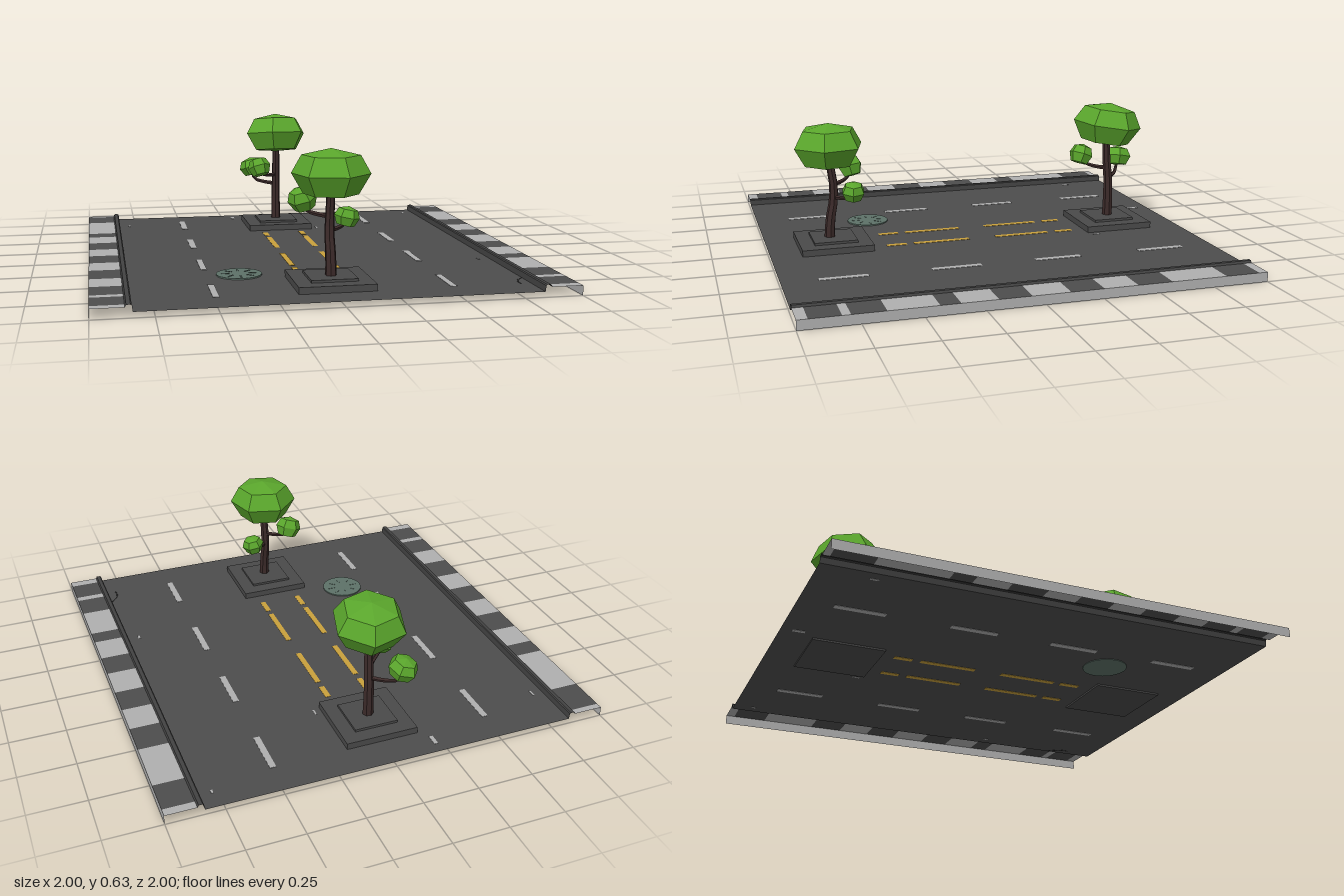
import * as THREE from 'three';

const mat = (name, color, extra = {}) => {
  const m = new THREE.MeshStandardMaterial({ color, ...extra });
  m.name = name;
  return m;
};

export function createModel() {
  const root = new THREE.Group();
  root.name = 'roadSection';
  const two = { side: THREE.DoubleSide };
  const asphalt = mat('asphalt', 0x4d4d4d, two);
  const curbGrey = mat('curbGrey', 0x424242, two);
  const paleGrey = mat('paleGrey', 0xb0b0b0, two);
  const yellow = mat('yellowPaint', 0xc9a03c);
  const iron = mat('manholeGreen', 0x5d7168);
  const crackDark = mat('crackDark', 0x333333);
  const stone = mat('planterGrey', 0x4a4a4a);
  const bark = mat('bark', 0x3b2a29, { flatShading: true });
  const leaf = mat('leaf', 0x5aa62c, { flatShading: true });
  const ROAD = 0.024;

  const add = (parent, name, geo, material, x = 0, y = 0, z = 0) => {
    const m = new THREE.Mesh(geo, material);
    m.name = name;
    m.position.set(x, y, z);
    parent.add(m);
    return m;
  };

  // Open sheet: a list of [x, y] points swept from z0 to z1, flat facets
  const sheet = (pts, z0, z1) => {
    const pos = [];
    for (let i = 0; i + 1 < pts.length; i++) {
      const [a, b] = [pts[i], pts[i + 1]];
      pos.push(...a, z0, ...a, z1, ...b, z1, ...a, z0, ...b, z1, ...b, z0);
    }
    const g = new THREE.BufferGeometry();
    g.setAttribute('position', new THREE.Float32BufferAttribute(pos, 3));
    g.computeVertexNormals();
    return g;
  };

  // Road surface
  add(root, 'roadSurface', sheet([[-0.835, ROAD], [0.835, ROAD]], -1, 1), asphalt);

  // Kerbs, outer walls and pavement tiles; tiles alternate starting pale
  const tileEdges = {
    '-1': [-1, -0.97, -0.8, -0.495, -0.4, -0.25, -0.095, 0.05, 0.2, 0.35, 0.51, 0.65, 0.79, 0.825, 0.955, 1],
    '1': [-1, -0.96, -0.805, -0.555, -0.4, -0.25, -0.105, 0.06, 0.2, 0.355, 0.44, 0.65, 0.79, 0.825, 0.955, 1],
  };
  // merge the two neighbouring pale bands on the left side
  tileEdges['-1'].splice(3, 2, -0.495, -0.4);
  for (const s of [-1, 1]) {
    // mirrored sweeps run the other way so the outer normals face up
    const side = (pts, z0, z1) => {
      const p = pts.map(([x, y]) => [x * s, y]);
      return sheet(s > 0 ? p : p.reverse(), z0, z1);
    };
    const label = s > 0 ? 'left' : 'right';
    const edges = tileEdges[s];
    for (let i = 0; i + 1 < edges.length; i++) {
      add(root, label + 'PavementTile', side([[0.865, 0.043], [1, 0.043]], edges[i], edges[i + 1]),
        i % 2 ? asphalt : paleGrey);
    }
    add(root, label + 'OuterWall', side([[1, 0.043], [1, 0]], -1, 1), paleGrey);
    add(root, label + 'Kerb',
      side([[0.835, ROAD], [0.838, 0.049], [0.843, 0.053], [0.86, 0.053], [0.865, 0.043]], -1, 1), curbGrey);
  }

  // Painted lines, thin enough to show on both faces of the road
  const paint = (name, material, x, z0, z1, w) =>
    add(root, name, new THREE.BoxGeometry(w, 0.003, z1 - z0), material, x, ROAD, (z0 + z1) / 2);
  for (const s of [-1, 1]) {
    for (const [a, b] of [[-0.85, -0.63], [-0.345, -0.13], [0.12, 0.345], [0.625, 0.84]])
      paint('laneDash', paleGrey, s * 0.498, a, b, 0.028);
    for (const [a, b] of [[-0.46, -0.375], [-0.335, -0.07], [0.06, 0.33], [0.365, 0.46]])
      paint('centreDash', yellow, s * 0.095, a, b, 0.026);
  }
  for (const [x, z, w, l] of [[-0.207, -0.922, 0.018, 0.055], [-0.785, -0.77, 0.01, 0.035],
    [0.78, -0.905, 0.01, 0.02], [0.197, -0.55, 0.008, 0.035], [0.78, 0.355, 0.01, 0.025]])
    paint('paintFleck', paleGrey, x, z - l / 2, z + l / 2, w);

  // Crack beside the left kerb
  const crackPath = new THREE.CatmullRomCurve3([[0.832, 0.75], [0.805, 0.78], [0.79, 0.815], [0.793, 0.855]]
    .map(([x, z]) => new THREE.Vector3(x, 0, z)));
  add(root, 'roadCrack', new THREE.TubeGeometry(crackPath, 10, 0.003, 5), crackDark, 0, ROAD, 0).scale.y = 0.6;

  // Manhole cover with low raised ribs
  const manhole = new THREE.Group();
  manhole.name = 'manhole';
  manhole.position.set(-0.356, 0, 0.463);
  root.add(manhole);
  add(manhole, 'manholeCover', new THREE.CylinderGeometry(0.1, 0.1, 0.009, 32), iron, 0, 0.0255, 0);
  for (let i = 0; i < 8; i++) {
    const a = (i * Math.PI) / 4;
    add(manhole, 'manholeRib', new THREE.BoxGeometry(0.035, 0.002, 0.008), iron,
      Math.cos(a) * 0.06, 0.0305, Math.sin(a) * 0.06).rotation.y = -a;
  }

  // Tapered tube through points
  const limb = (pts, r0, r1, sides) => {
    const curve = new THREE.CatmullRomCurve3(pts.map((p) => new THREE.Vector3(...p)));
    const n = 7;
    const g = new THREE.TubeGeometry(curve, n, r0, sides);
    const p = g.attributes.position;
    const v = new THREE.Vector3();
    for (let i = 0; i < p.count; i++) {
      const t = Math.floor(i / (sides + 1)) / n;
      const c = curve.getPointAt(t);
      v.fromBufferAttribute(p, i).sub(c).multiplyScalar(THREE.MathUtils.lerp(1, r1 / r0, t)).add(c);
      p.setXYZ(i, v.x, v.y, v.z);
    }
    return g;
  };

  // Six-sided leaf clump of unit half-width and unit half-height
  const clump = (turn) => new THREE.LatheGeometry(
    [[0, -1], [0.7, -0.92], [1, -0.05], [0.74, 0.72], [0, 1]].map(([x, y]) => new THREE.Vector2(x, y)),
    6, THREE.MathUtils.degToRad(turn));

  const tree = (name, cz, trunk, crown, clumps) => {
    const g = new THREE.Group();
    g.name = name;
    g.position.z = cz;
    root.add(g);
    add(g, 'planterBase', new THREE.BoxGeometry(0.33, 0.037, 0.33), stone, 0, 0.0345, 0);
    add(g, 'planterStep', new THREE.BoxGeometry(0.2, 0.011, 0.2), stone, 0, 0.0585, 0);
    add(g, 'trunk', limb(trunk, 0.025, 0.018, 7), bark);
    const c = add(g, 'crown', clump(crown.turn), leaf, 0, crown.y, crown.z);
    c.scale.set(0.167, 0.1, 0.167);
    c.rotation.x = crown.tilt;
    for (const { at, size, tilt, from } of clumps) {
      const [x, y, z] = at;
      const k = add(g, 'leafClump', clump(20), leaf, x, y, z);
      k.scale.set(...size);
      k.rotation.set(...tilt);
      add(g, 'branch', limb([from, [x * 0.55, from[1] + 0.005, z * 0.6],
        [x * 0.9, from[1] + 0.02, z * 0.9], [x, y, z]], 0.011, 0.007, 5), bark);
    }
  };

  // Front tree
  tree('frontTree', 0.695,
    [[0, 0.055, 0.015], [0, 0.14, 0.01], [-0.002, 0.24, -0.008], [0, 0.32, -0.008], [0, 0.43, 0.01]],
    { y: 0.5, z: 0.01, tilt: 0, turn: 75 },
    [
      { at: [0.092, 0.295, -0.085], size: [0.056, 0.043, 0.056], tilt: [0, 0, -0.2], from: [0, 0.25, -0.01] },
      { at: [-0.1, 0.375, -0.105], size: [0.065, 0.052, 0.06], tilt: [0.2, 0, 0.3], from: [0, 0.31, -0.01] },
    ]);

  // Back tree
  tree('backTree', -0.685,
    [[0, 0.055, -0.003], [0, 0.15, -0.005], [0, 0.25, -0.003], [0, 0.34, 0.006], [0, 0.46, 0.012]],
    { y: 0.528, z: 0.007, tilt: -0.15, turn: 45 },
    [
      { at: [-0.105, 0.358, 0.1], size: [0.06, 0.05, 0.06], tilt: [-0.35, 0, 0.2], from: [0, 0.3, 0] },
      { at: [-0.115, 0.335, -0.1], size: [0.068, 0.048, 0.072], tilt: [-0.15, 0, 0.25], from: [0, 0.25, 0] },
    ]);

  return root;
}
